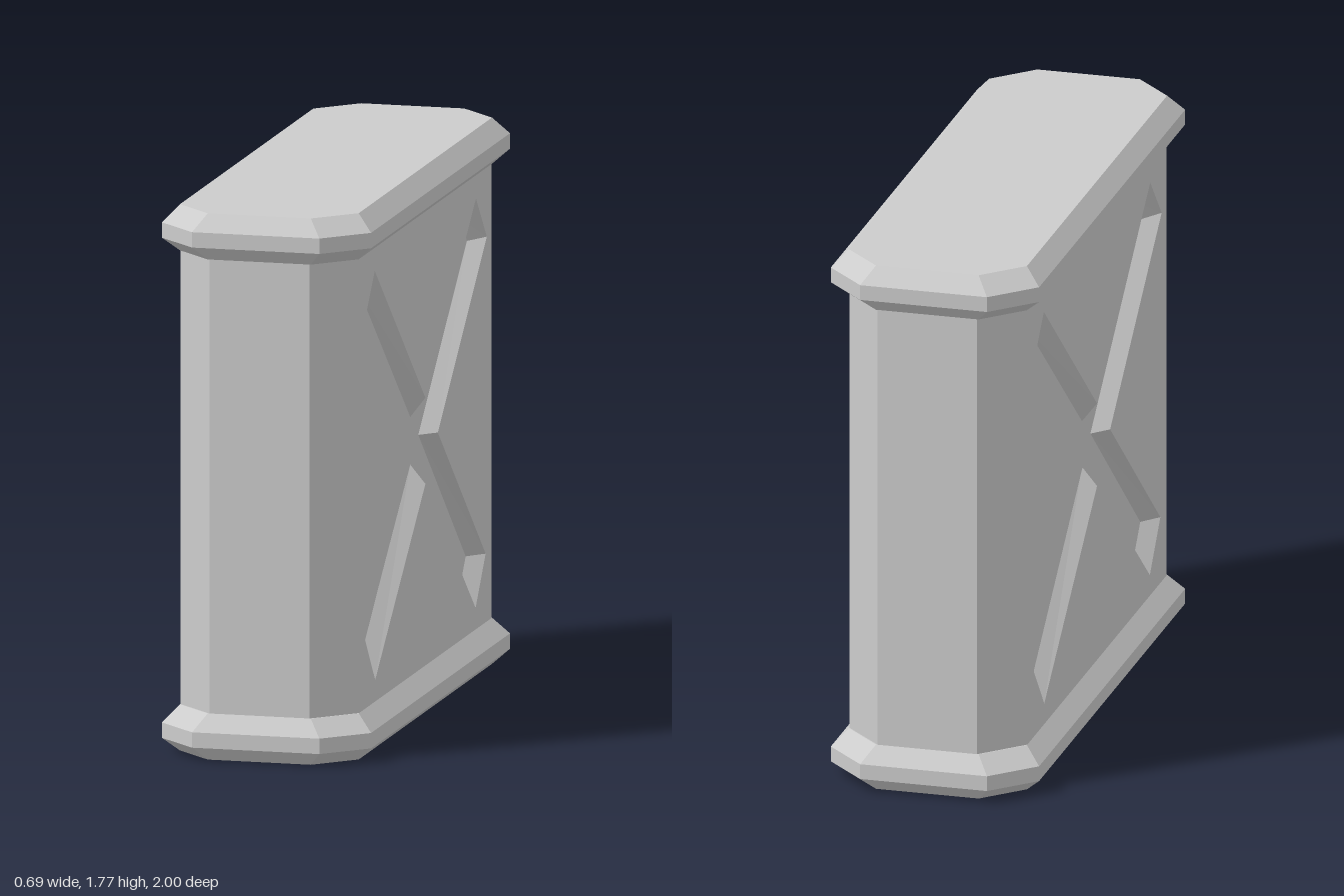
import * as THREE from 'three';

const material = new THREE.MeshStandardMaterial({ color: 0xcccccc, flatShading: true });

function makeMesh(geometry, name) {
  const mesh = new THREE.Mesh(geometry, material);
  mesh.name = name;
  return mesh;
}

// Flat quads joining successive cross-sections (arrays of [x, y, z])
function loft(sections, closed) {
  const out = [];
  for (let s = 0; s + 1 < sections.length; s++) {
    const a = sections[s], b = sections[s + 1], n = a.length;
    for (let i = 0; i < (closed ? n : n - 1); i++) {
      const j = (i + 1) % n;
      out.push(...a[i], ...a[j], ...b[j], ...a[i], ...b[j], ...b[i]);
    }
  }
  const geometry = new THREE.BufferGeometry();
  geometry.setAttribute('position', new THREE.Float32BufferAttribute(out, 3));
  geometry.computeVertexNormals();
  return geometry;
}

// Rectangle with cut corners, running counter-clockwise seen from above
function octagon(hx, hz, cut, y) {
  return [
    [-hx + cut, y, hz], [hx - cut, y, hz], [hx, y, hz - cut], [hx, y, -hz + cut],
    [hx - cut, y, -hz], [-hx + cut, y, -hz], [-hx, y, -hz + cut], [-hx, y, hz - cut],
  ];
}

// Bevelled slab used at the top and the bottom
function createCap(name, y) {
  const centre = (h) => Array.from({ length: 8 }, () => [0, h, 0]);
  return makeMesh(loft([
    centre(y),
    octagon(0.295, 0.955, 0.125, y),
    octagon(0.345, 1, 0.135, y + 0.045),
    octagon(0.345, 1, 0.135, y + 0.095),
    octagon(0.295, 0.955, 0.125, y + 0.15),
    centre(y + 0.15),
  ], true), name);
}

// Completes a left-right symmetric loop whose first and last points lie on the axis
function mirrorLoop(half) {
  const other = half.slice(1, -1).reverse().map(([u, v]) => [-u, v]);
  return [...half, ...other];
}

const BODY_X = 0.295, BODY_Z = 0.955, BODY_CUT = 0.13;
const BOTTOM = 0.15, TOP = 1.63, DEPTH = 0.05;

const grooveRim = mirrorLoop([
  [0, 1.02], [-0.63, 1.55], [-0.765, 1.4], [-0.155, 0.878],
  [-0.75, 0.373], [-0.625, 0.22], [0, 0.74],
]);
const grooveFloor = mirrorLoop([
  [0, 0.955], [-0.63, 1.48], [-0.705, 1.395], [-0.1, 0.878],
  [-0.69, 0.373], [-0.622, 0.29], [0, 0.8],
]);

// Broad side with a sunken, sloping-walled cross
function createSidePanel() {
  const vectors = (loop) => loop.map(([u, v]) => new THREE.Vector2(u, v));
  const w = BODY_Z - BODY_CUT;
  const face = new THREE.Shape(vectors([[-w, BOTTOM], [w, BOTTOM], [w, TOP], [-w, TOP]]));
  face.holes.push(new THREE.Path(vectors(grooveRim)));

  const panel = new THREE.Group();
  panel.name = 'sidePanel';
  panel.add(makeMesh(new THREE.ShapeGeometry(face), 'panelFace'));

  const at = (loop, z) => loop.map(([u, v]) => [u, v, z]);
  panel.add(makeMesh(loft([at(grooveRim, 0), at(grooveFloor, -DEPTH)], true), 'grooveWalls'));

  const floor = makeMesh(new THREE.ShapeGeometry(new THREE.Shape(vectors(grooveFloor))), 'grooveFloor');
  floor.position.z = -DEPTH;
  panel.add(floor);

  panel.rotation.y = Math.PI / 2;
  panel.position.x = BODY_X;
  return panel;
}

// Narrow end with its two chamfered corners
function createEndWall() {
  const strip = (y) => {
    const o = octagon(BODY_X, BODY_Z, BODY_CUT, y);
    return [o[7], o[0], o[1], o[2]];
  };
  return makeMesh(loft([strip(BOTTOM), strip(TOP)], false), 'endWall');
}

export function createModel() {
  const model = new THREE.Group();
  model.name = 'barrier';

  // Two identical halves, turned half a revolution
  for (const [name, angle] of [['leftFrontHalf', 0], ['rightBackHalf', Math.PI]]) {
    const half = new THREE.Group();
    half.name = name;
    half.add(createSidePanel(), createEndWall());
    half.rotation.y = angle;
    model.add(half);
  }

  model.add(createCap('baseCap', 0), createCap('topCap', TOP - 0.005));
  return model;
}
